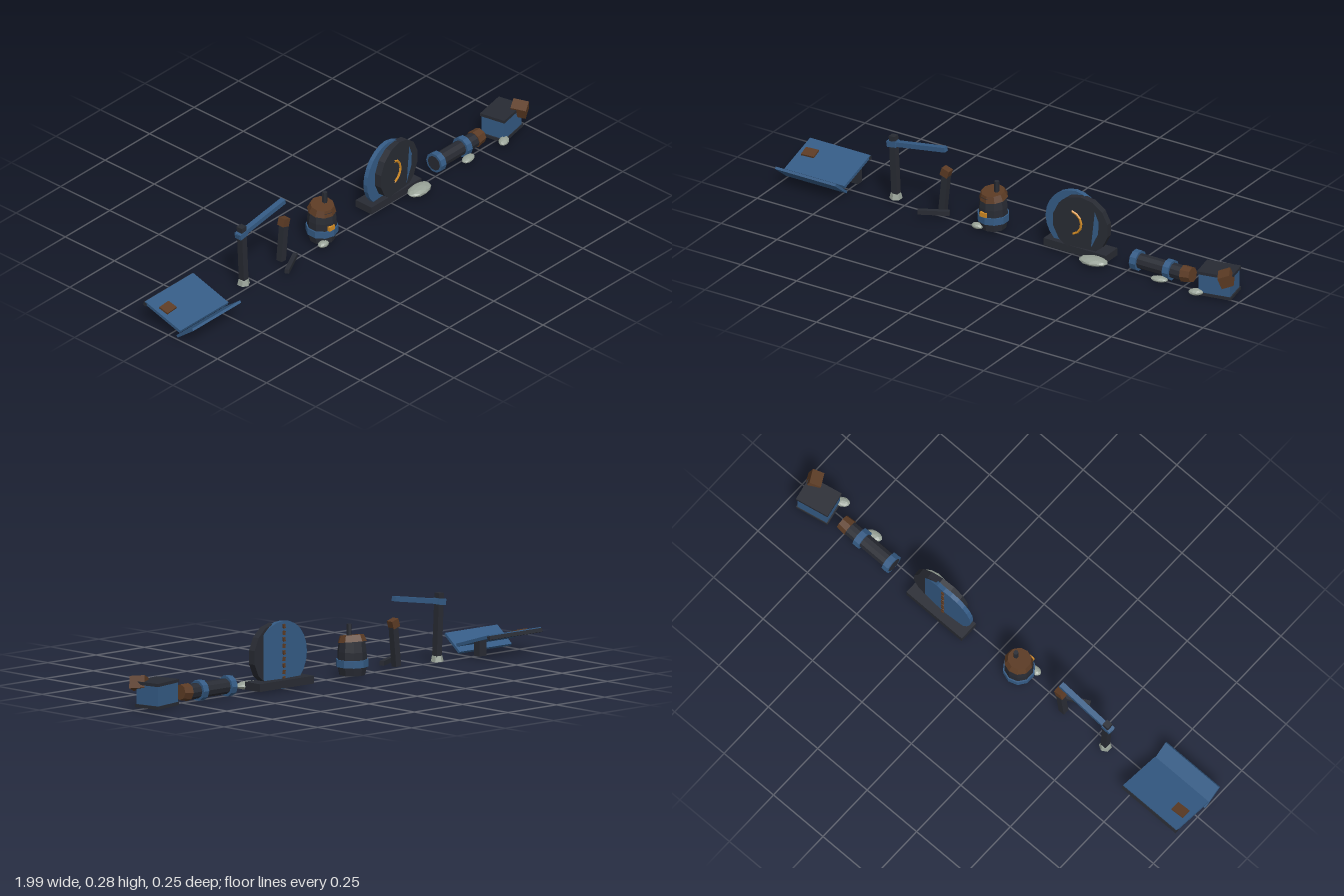
import * as THREE from 'three';

const mat = (color) => new THREE.MeshStandardMaterial({ color, flatShading: true, side: THREE.DoubleSide });
const BLUE = mat(0x345b85), DARK = mat(0x282b33), BROWN = mat(0x5c3b24), ORANGE = mat(0xd08a24), STONE = mat(0x99a398);

function add(parent, name, geo, material, pos = [0, 0, 0], rot = [0, 0, 0]) {
  const m = new THREE.Mesh(geo, material);
  m.name = name;
  m.position.set(...pos);
  m.rotation.set(...rot);
  parent.add(m);
  return m;
}
const box = (w, h, d) => new THREE.BoxGeometry(w, h, d);
const cyl = (rt, rb, h, n) => new THREE.CylinderGeometry(rt, rb, h, n);

function group(parent, name, pos = [0, 0, 0], rot = [0, 0, 0]) {
  const g = new THREE.Group();
  g.name = name;
  g.position.set(...pos);
  g.rotation.set(...rot);
  parent.add(g);
  return g;
}

// Flattened faceted stone
function stone(parent, pos, size, turn = 0) {
  const m = add(parent, 'stone', new THREE.IcosahedronGeometry(1, 1), STONE, pos, [0, turn, 0]);
  m.scale.set(...size);
}

// Sloping tray with a raised front lip
function tray(root) {
  const g = group(root, 'tray', [-0.865, 0, 0]);
  const slope = Math.atan2(0.055, 0.18);
  add(g, 'trayPlate', box(0.27, 0.012, 0.188), BLUE, [0, 0.067, -0.03], [slope, 0, 0]);
  add(g, 'trayLip', box(0.27, 0.01, 0.102), BLUE, [0, 0.044, 0.084], [-0.67, 0, 0]);
  add(g, 'rearRail', box(0.272, 0.015, 0.015), DARK, [0, 0.088, -0.118], [slope, 0, 0]);
  add(g, 'trayPatch', box(0.055, 0.012, 0.042), BROWN, [-0.088, 0.079, -0.045], [slope, 0.06, 0]);
  add(g, 'trayFoot', box(0.035, 0.06, 0.03), DARK, [0.115, 0.041, -0.05]);
}

// Tall post carrying a tilted beam
function leverPost(root) {
  const g = group(root, 'leverPost', [0, 0, -0.022]);
  add(g, 'post', box(0.026, 0.25, 0.026), DARK, [-0.558, 0.145, 0], [0, 0, 0.05]);
  add(g, 'beam', box(0.262, 0.019, 0.022), BLUE, [-0.458, 0.254, 0], [0, 0, 0.16]);
  add(g, 'beamCollar', box(0.04, 0.024, 0.03), BLUE, [-0.566, 0.237, 0], [0, 0, 0.16]);
  add(g, 'postFoot', cyl(0.02, 0.025, 0.022, 6), STONE, [-0.553, 0.02, 0]);
}

// Short leaning post with a loose bar in front
function shortPost(root) {
  const g = group(root, 'shortPost');
  add(g, 'post', box(0.026, 0.16, 0.026), DARK, [-0.334, 0.095, -0.022], [0, 0, -0.1]);
  add(g, 'postCap', box(0.034, 0.032, 0.03), BROWN, [-0.327, 0.18, -0.022], [0, 0, -0.3]);
  add(g, 'groundBar', box(0.122, 0.018, 0.017), DARK, [-0.348, 0.028, 0.034], [0, 0.47, 0]);
}

// Barrel with a blue hoop, tilted lid and peg
function barrel(root) {
  const g = group(root, 'barrel', [-0.115, 0, -0.02]);
  const pts = [[0, 0.01], [0.05, 0.01], [0.057, 0.05], [0.056, 0.1], [0.05, 0.143], [0, 0.143]];
  add(g, 'barrelBody', new THREE.LatheGeometry(pts.map((p) => new THREE.Vector2(...p)), 10), DARK);
  add(g, 'barrelHoop', cyl(0.062, 0.062, 0.028, 10), BLUE, [0, 0.056, 0]);
  add(g, 'barrelLid', cyl(0.046, 0.056, 0.026, 10), BROWN, [0, 0.148, 0], [0.15, 0, 0.04]);
  add(g, 'lidPeg', cyl(0.01, 0.01, 0.06, 6), DARK, [0.016, 0.175, 0]);
  add(g, 'barrelTag', box(0.03, 0.018, 0.012), ORANGE, [-0.008, 0.08, 0.055]);
  stone(g, [-0.042, 0.02, 0.045], [0.025, 0.012, 0.018]);
}

// Upright wheel: dark front disc, creased blue backing, beaded seam
function wheel(root) {
  const g = group(root, 'wheel');
  add(g, 'wheelBase', box(0.28, 0.03, 0.08), DARK, [0.27, 0.025, -0.03]);

  const front = group(g, 'frontDisc', [0.29, 0.135, -0.009], [0, 0.1, 0]);
  add(front, 'discPlate', cyl(0.118, 0.118, 0.028, 14), DARK, [0, 0, 0], [Math.PI / 2, 0, 0]);
  const arc = new THREE.TorusGeometry(0.048, 0.005, 5, 6, 2.7);
  add(front, 'orangeArc', arc, ORANGE, [-0.043, 0.005, 0.016], [0, 0, -1.3]);
  const sliver = new THREE.Shape();
  sliver.moveTo(0.062, 0.07);
  sliver.lineTo(0.078, 0.03);
  sliver.lineTo(0.076, -0.02);
  sliver.lineTo(0.045, -0.085);
  add(front, 'blueInset', new THREE.ShapeGeometry(sliver), BLUE, [0, 0, 0.0155]);

  // two half discs meeting at a ridge on the back
  const back = group(g, 'backing', [0.255, 0.13, -0.036]);
  for (const s of [-1, 1]) {
    const half = new THREE.Shape();
    half.absarc(0, 0, 0.13, -Math.PI / 2, Math.PI / 2, false);
    const geo = new THREE.ExtrudeGeometry(half, { depth: 0.018, bevelEnabled: false, curveSegments: 6 });
    if (s < 0) geo.rotateZ(Math.PI);
    add(back, 'backHalf', geo, BLUE, [0, 0, 0], [0, -s * 0.07, 0]);
  }
  for (let i = 0; i < 9; i++) {
    add(back, 'seamBead', box(0.01, 0.016, 0.008), BROWN, [0, -0.09 + i * 0.025, -0.002], [0, 0, (i % 2 ? 1 : -1) * 0.2]);
  }
  stone(g, [0.37, 0.02, 0.036], [0.06, 0.016, 0.036], 0.1);
}

// Banded tube lying on its side
function bandedTube(root) {
  const g = group(root, 'bandedTube', [0, 0.043, -0.022]);
  const lay = [0, 0, Math.PI / 2];
  add(g, 'tubeBody', cyl(0.03, 0.03, 0.23, 10), DARK, [0.63, 0, 0], lay);
  for (const x of [0.53, 0.677]) add(g, 'tubeBand', cyl(0.04, 0.04, 0.027, 10), BLUE, [x, 0, 0], lay);
  add(g, 'tubeCap', cyl(0.034, 0.03, 0.04, 8), BROWN, [0.758, 0.002, 0], [0, 0, Math.PI / 2 + 0.1]);
  stone(g, [0.658, -0.026, 0.046], [0.035, 0.011, 0.02], 0.2);
}

// Turned crate with dark lid and floor, and a tilted brown block
function crate(root) {
  const g = group(root, 'crate', [0.896, 0, -0.022], [0, 0.2, 0]);
  add(g, 'crateBody', box(0.128, 0.08, 0.1), BLUE, [0, 0.058, 0]);
  add(g, 'crateLid', box(0.138, 0.012, 0.106), DARK, [0, 0.101, 0]);
  add(g, 'crateFloor', box(0.138, 0.012, 0.106), DARK, [0, 0.014, 0]);
  add(root, 'tiltedBlock', box(0.048, 0.048, 0.06), BROWN, [0.953, 0.098, 0.018], [0.12, 0.5, 0.3]);
  stone(root, [0.836, 0.02, 0.044], [0.03, 0.013, 0.02], 0.5);
}

export function createModel() {
  const root = new THREE.Group();
  root.name = 'workshopPieces';
  [tray, leverPost, shortPost, barrel, wheel, bandedTube, crate].forEach((build) => build(root));
  return root;
}
